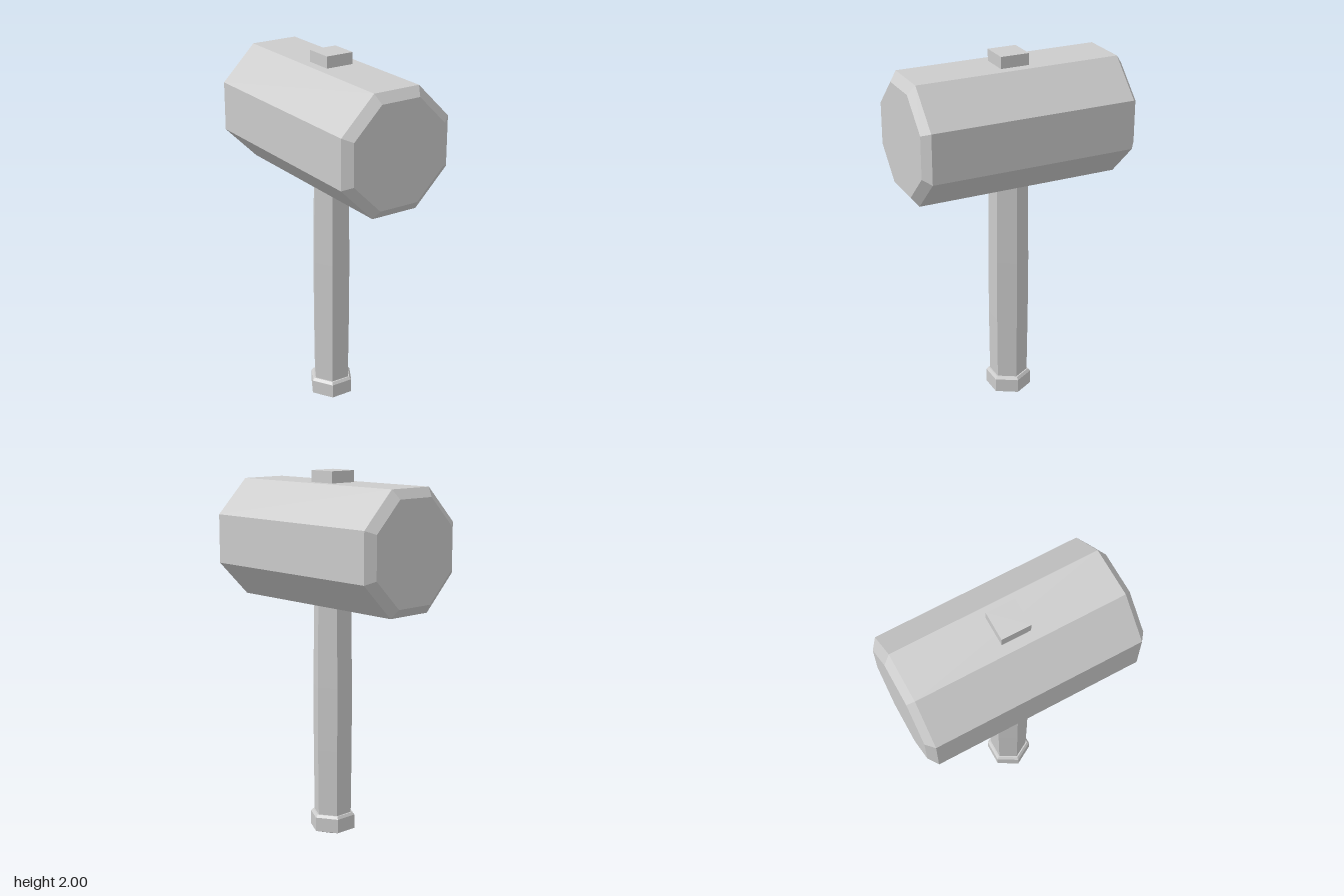
import * as THREE from 'three';

const material = new THREE.MeshStandardMaterial({ color: 0xcccccc, flatShading: true });

// Faceted solid of revolution from [radius, height] pairs, bottom to top
function faceted(name, profile, sides, startAngle) {
  const points = profile.map(([r, y]) => new THREE.Vector2(r, y));
  const mesh = new THREE.Mesh(new THREE.LatheGeometry(points, sides, startAngle), material);
  mesh.name = name;
  return mesh;
}

export function createModel() {
  const model = new THREE.Group();
  model.name = 'mallet';

  // Octagonal head with bevelled striking faces, lying along z
  const toCorner = 1 / Math.cos(Math.PI / 8);
  const body = 0.318 * toCorner, face = 0.27 * toCorner;
  const head = faceted('head',
    [[0, -0.595], [face, -0.595], [body, -0.557], [body, 0.557], [face, 0.595], [0, 0.595]],
    8, Math.PI / 8);
  head.rotation.x = Math.PI / 2;
  head.position.y = 1.62;
  model.add(head);

  // Hexagonal handle, slightly swollen in the middle
  model.add(faceted('handle',
    [[0, 0.13], [0.104, 0.13], [0.108, 0.5], [0.109, 0.85], [0.103, 1.31], [0, 1.31]],
    6, Math.PI / 2));

  // Pommel with a pointed underside
  model.add(faceted('pommel',
    [[0, 0], [0.125, 0.045], [0.125, 0.122], [0.112, 0.136], [0, 0.136]],
    6, Math.PI / 2));

  // Square end of the handle showing above the head
  const peg = new THREE.Mesh(new THREE.BoxGeometry(0.156, 0.08, 0.156), material);
  peg.name = 'peg';
  peg.position.y = 1.96;
  model.add(peg);

  return model;
}
